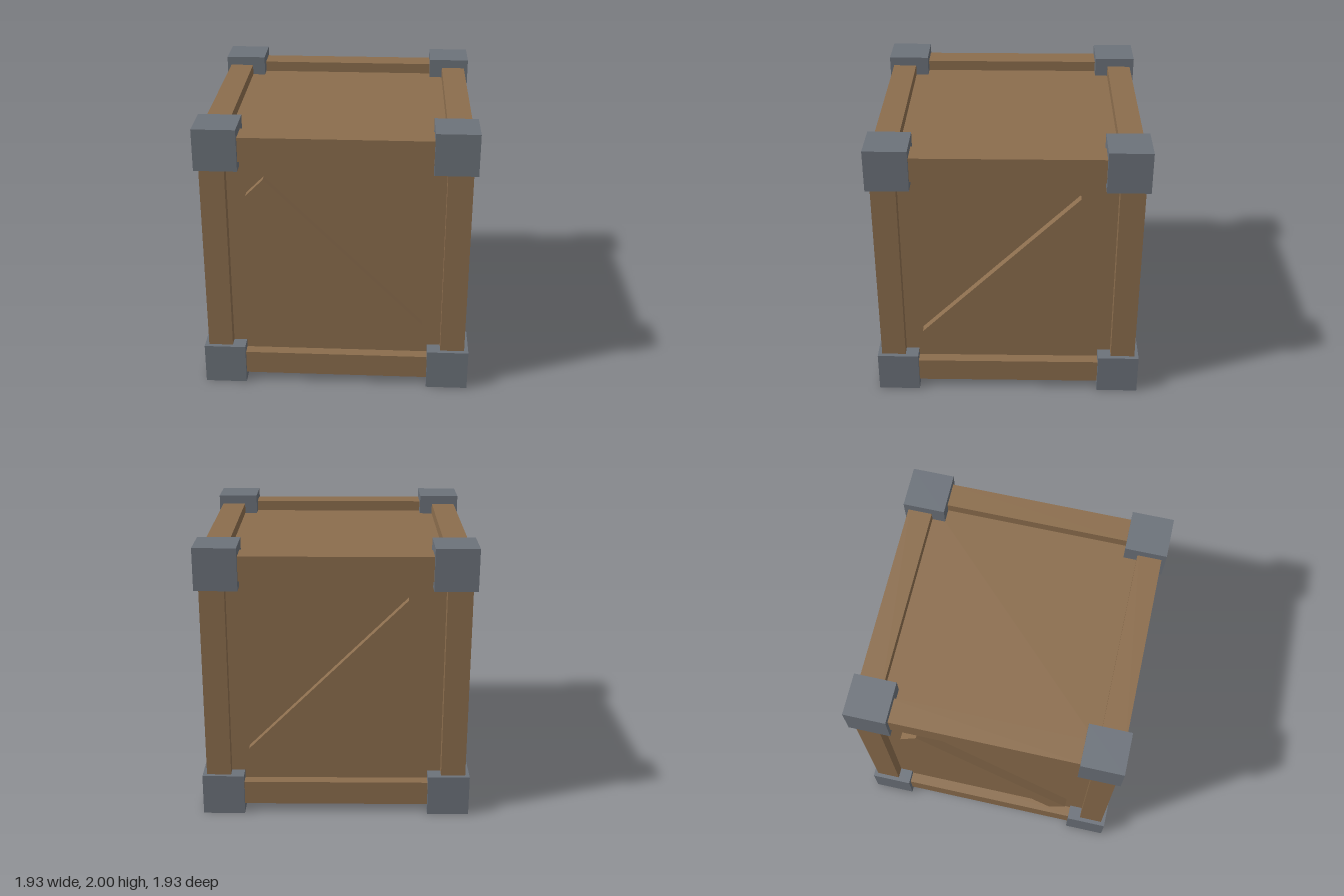
import * as THREE from 'three';

const wood = new THREE.MeshStandardMaterial({ color: 0x8b6d4d });
wood.name = 'wood';
const steel = new THREE.MeshStandardMaterial({ color: 0x6c727a });
steel.name = 'steel';

const PANEL = 0.857;      // half size of the inner box
const BEAM = 0.175;       // beam thickness
const BEAM_AT = 0.8475;   // beam centre line
const CORNER = 0.3;       // corner block size
const CORNER_AT = 0.815;  // corner block centre in x and z
const CORNER_Y = 0.85;    // corner block centre in y
const BRACE_OUT = 0.92;   // outer face of the diagonal braces

function box(parent, name, material, size, position) {
  const mesh = new THREE.Mesh(new THREE.BoxGeometry(...size), material);
  mesh.name = name;
  mesh.position.set(...position);
  parent.add(mesh);
  return mesh;
}

export function createModel() {
  const crate = new THREE.Group();
  crate.name = 'crate';
  crate.position.y = 1;

  // Inner box whose faces are the recessed panels
  box(crate, 'panels', wood, [2 * PANEL, 2 * PANEL, 2 * PANEL], [0, 0, 0]);

  // Twelve edge beams, ending inside the corner blocks
  const length = 1.5;
  for (const a of [-1, 1]) {
    for (const b of [-1, 1]) {
      const p = a * BEAM_AT, q = b * BEAM_AT;
      box(crate, 'railX', wood, [length, BEAM, BEAM], [0, p, q]);
      box(crate, 'post', wood, [BEAM, length, BEAM], [p, 0, q]);
      box(crate, 'railZ', wood, [BEAM, BEAM, length], [p, q, 0]);
      // Metal corner blocks
      for (const c of [-1, 1]) {
        box(crate, 'cornerBlock', steel, [CORNER, CORNER, CORNER],
          [a * CORNER_AT, c * CORNER_Y, b * CORNER_AT]);
      }
    }
  }

  // Diagonal braces on the four upright sides
  const depth = 0.12, braceLength = 1.59, braceWidth = 0.177;
  const at = BRACE_OUT - depth / 2;
  for (const s of [-1, 1]) {
    box(crate, 'braceFrontBack', wood, [braceLength, braceWidth, depth], [0, 0, s * at])
      .rotation.z = -Math.PI / 4;
    box(crate, 'braceSide', wood, [depth, braceWidth, braceLength], [s * at, 0, 0])
      .rotation.x = Math.PI / 4;
  }

  const model = new THREE.Group();
  model.add(crate);
  return model;
}
